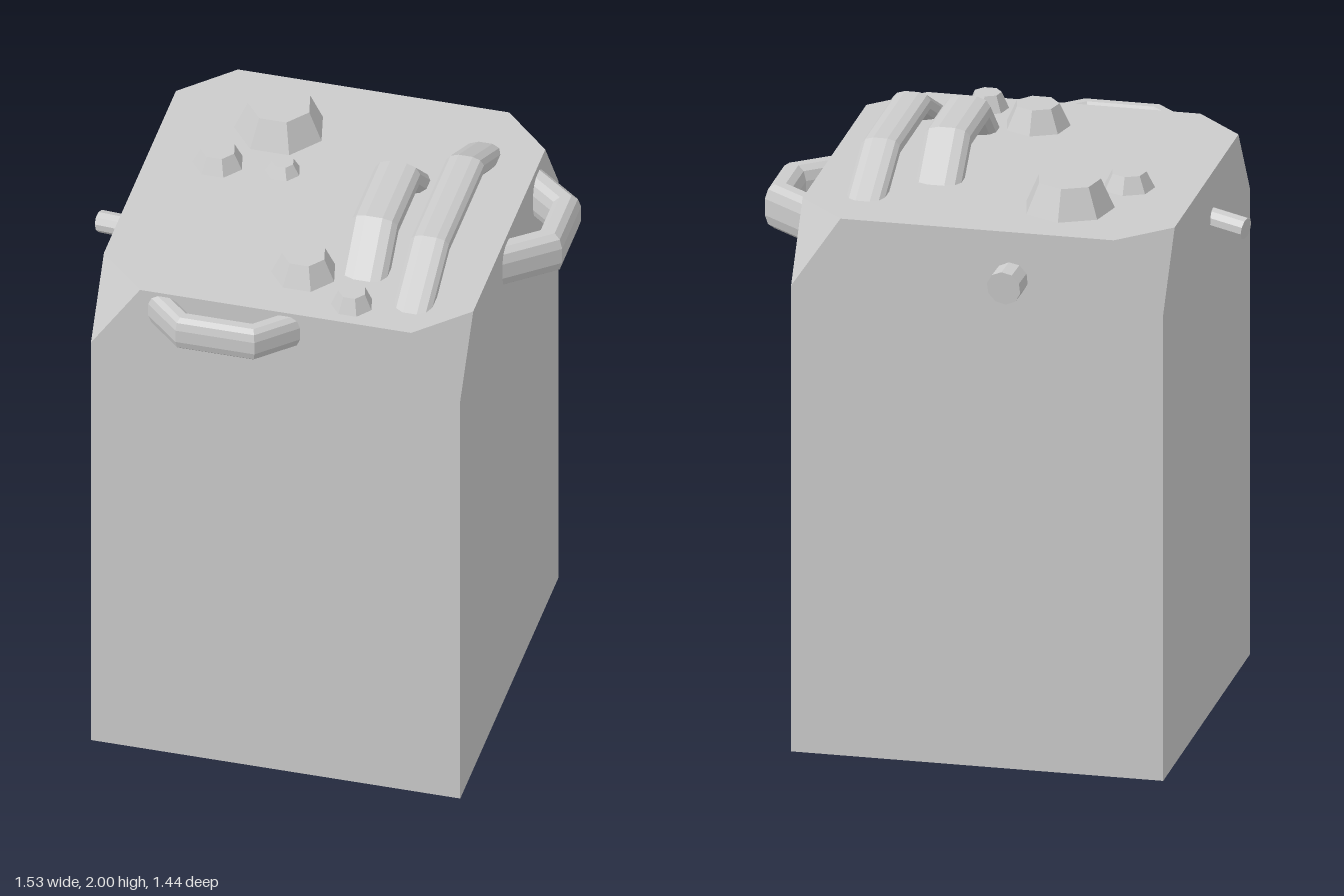
import * as THREE from 'three';
import { ConvexGeometry } from 'three/addons/geometries/ConvexGeometry.js';

const LO = -0.645, HI = 0.597, TOP = 1.855;
const V = (x, y, z) => new THREE.Vector3(x, y, z);

function part(name, geometry, doubleSide = false) {
  const material = new THREE.MeshStandardMaterial({ color: 0xcccccc, flatShading: true });
  if (doubleSide) material.side = THREE.DoubleSide;
  const mesh = new THREE.Mesh(geometry, material);
  mesh.name = name;
  return mesh;
}

// Square block with its four upper corners sliced off
function bodyGeometry() {
  const cut = 0.165, drop = 0.245, points = [];
  for (const sx of [-1, 1]) for (const sz of [-1, 1]) {
    const x = sx < 0 ? LO : HI, z = sz < 0 ? LO : HI;
    points.push(V(x, 0, z), V(x, TOP - drop, z), V(x - sx * cut, TOP, z), V(x, TOP, z - sz * cut));
  }
  return new ConvexGeometry(points);
}

// Bent grab handle: runs along x, rises along y, mitred at both bends
function handleGeometry(halfBase, halfFlat, height, halfWidth, thick) {
  const sides = 12, sink = 0.03;
  const angle = Math.atan2(height, halfBase - halfFlat);
  const inBase = halfBase - thick / Math.sin(angle);
  const inFlat = halfFlat - thick * Math.tan(angle / 2);
  const run = sink / Math.tan(angle);
  const stations = [
    [-halfBase - run, -sink, -inBase - run, -sink],
    [-halfFlat, height, -inFlat, height - thick],
    [halfFlat, height, inFlat, height - thick],
    [halfBase + run, -sink, inBase + run, -sink],
  ];
  const round = (v) => Math.sign(v) * Math.pow(Math.abs(v), 0.75);
  const pos = [], index = [];
  stations.forEach(([ox, oy, ix, iy], s) => {
    for (let i = 0; i < sides; i++) {
      const a = ((i + 0.5) / sides) * Math.PI * 2;
      const t = (1 - round(Math.cos(a))) / 2;
      pos.push(ox + (ix - ox) * t, oy + (iy - oy) * t, halfWidth * round(Math.sin(a)));
      if (s < 3) {
        const p = s * sides + i, q = s * sides + ((i + 1) % sides);
        index.push(p, q, p + sides, q, q + sides, p + sides);
      }
    }
  });
  const g = new THREE.BufferGeometry();
  g.setAttribute('position', new THREE.Float32BufferAttribute(pos, 3));
  g.setIndex(index);
  g.computeVertexNormals();
  return g;
}

// Short round peg between two points
function peg(name, from, to, radius) {
  const axis = to.clone().sub(from);
  const mesh = part(name, new THREE.CylinderGeometry(radius, radius, axis.length(), 10));
  mesh.position.copy(from).add(to).multiplyScalar(0.5);
  mesh.quaternion.setFromUnitVectors(V(0, 1, 0), axis.normalize());
  return mesh;
}

export function createModel() {
  const model = new THREE.Group();
  model.name = 'block';
  model.add(part('body', bodyGeometry()));

  // Handles: position on the face, then direction along and outward
  const handles = [
    ['topHandleShort', V(0.203, TOP, 0.05), V(0, 0, 1), V(0, 1, 0), [0.315, 0.155, 0.145, 0.078, 0.09]],
    ['topHandleLong', V(0.4, TOP, 0.015), V(0, 0, 1), V(0, 1, 0), [0.483, 0.228, 0.13, 0.065, 0.075]],
    ['frontHandle', V(-0.197, 1.78, HI), V(1, 0, 0), V(0, 0, 1), [0.257, 0.133, 0.118, 0.063, 0.075]],
    ['leftHandle', V(HI, 1.75, -0.19), V(0, 0, 1), V(1, 0, 0), [0.255, 0.12, 0.167, 0.078, 0.095]],
  ];
  for (const [name, position, along, outward, size] of handles) {
    const mesh = part(name, handleGeometry(...size), true);
    const across = along.clone().cross(outward);
    mesh.quaternion.setFromRotationMatrix(new THREE.Matrix4().makeBasis(along, outward, across));
    mesh.position.copy(position);
    model.add(mesh);
  }

  // Seven-sided tapered studs: x, z, base radius, top radius, height
  const studs = [
    [-0.265, -0.372, 0.151, 0.106, 0.1],
    [-0.412, -0.14, 0.086, 0.058, 0.055],
    [-0.197, -0.15, 0.059, 0.037, 0.038],
    [0.012, 0.367, 0.109, 0.073, 0.077],
    [0.207, 0.495, 0.07, 0.046, 0.055],
  ];
  studs.forEach(([x, z, base, top, height], i) => {
    const mesh = part(`stud${i + 1}`, new THREE.CylinderGeometry(top, base, height, 7));
    mesh.rotation.y = Math.PI;
    mesh.position.set(x, TOP + height / 2, z);
    model.add(mesh);
  });

  // Slightly tilted pegs on the right and back faces
  model.add(peg('rightPeg', V(-0.6, 1.7, 0.076), V(-0.762, 1.678, 0.037), 0.037));
  model.add(peg('backPeg', V(-0.14, 1.697, -0.6), V(-0.129, 1.685, -0.716), 0.058));
  return model;
}
